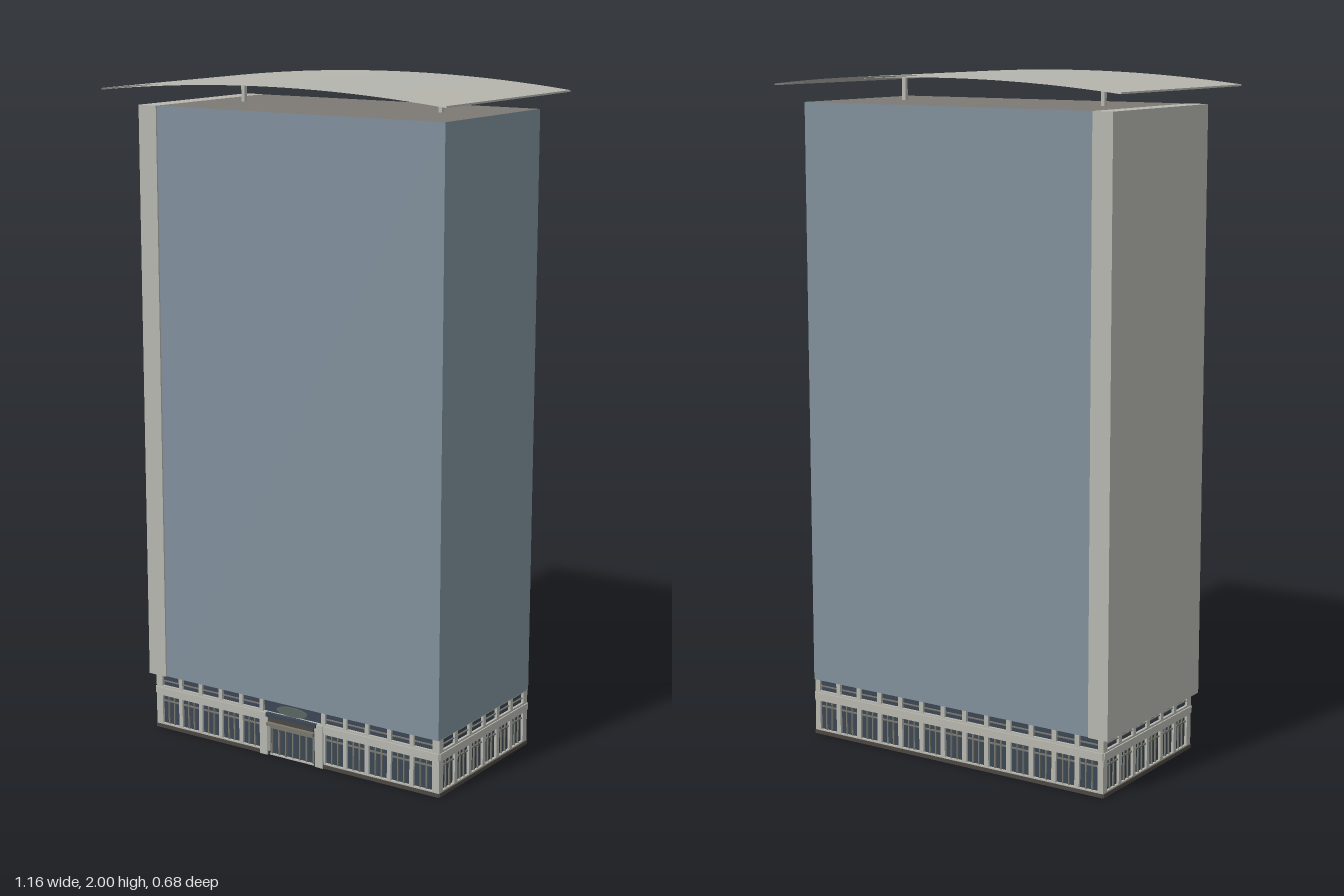
import * as THREE from 'three';
import { mergeGeometries } from 'three/addons/utils/BufferGeometryUtils.js';

function material(name, color, side = THREE.FrontSide) {
  const m = new THREE.MeshStandardMaterial({ color, side });
  m.name = name;
  return m;
}
const M = {
  blue: material('blue cladding', 0x80909c, THREE.DoubleSide),
  stone: material('pale stone', 0xb7b7af),
  roof: material('roof sheet', 0xb5b5ae, THREE.DoubleSide),
  cap: material('roof deck', 0x7d7a74),
  glass: material('dark glass', 0x3b4653, THREE.DoubleSide),
  frame: material('window frame', 0x77776f),
  plinth: material('plinth', 0x4b4641),
  sign: material('canopy green grey', 0x58645f),
};

function add(parent, name, geometry, mat, x = 0, y = 0, z = 0) {
  const mesh = new THREE.Mesh(geometry, mat);
  mesh.name = name;
  mesh.position.set(x, y, z);
  parent.add(mesh);
  return mesh;
}

// box from its limits
function block(x0, x1, y0, y1, z0, z1) {
  return new THREE.BoxGeometry(x1 - x0, y1 - y0, z1 - z0)
    .translate((x0 + x1) / 2, (y0 + y1) / 2, (z0 + z1) / 2);
}

function rectPath(x0, x1, y0, y1) {
  return new THREE.Path([[x0, y0], [x0, y1], [x1, y1], [x1, y0]].map(p => new THREE.Vector2(...p))).closePath();
}

const H = 0.175, DEPTH = 0.012;

// one podium wall, outer face on local z = 0, with windows at the given centres
function facade(name, half, centres, pane, entrance = false) {
  const g = new THREE.Group();
  g.name = name;
  const wall = new THREE.Shape([[-half, 0], [half, 0], [half, H], [-half, H]].map(p => new THREE.Vector2(...p)));
  const bars = [];
  for (const c of centres) {
    const w = pane / 2;
    wall.holes.push(rectPath(c - w, c + w, 0.015, 0.105), rectPath(c - w, c + w, 0.137, 0.17));
    // mullions and transoms
    for (const s of [-1, 1]) {
      const x = c + s * pane / 6;
      bars.push(block(x - 0.002, x + 0.002, 0.015, 0.105, -0.009, -0.003));
    }
    bars.push(block(c - w, c + w, 0.086, 0.09, -0.009, -0.003));
    bars.push(block(c - w, c + w, 0.15, 0.153, -0.009, -0.003));
  }
  if (entrance) wall.holes.push(rectPath(-0.082, 0.082, 0.004, 0.108), rectPath(-0.105, 0.105, 0.134, 0.17));
  add(g, 'wallFrame', new THREE.ExtrudeGeometry(wall, { depth: DEPTH, bevelEnabled: false }), M.stone, 0, 0, -DEPTH);
  add(g, 'glazing', new THREE.PlaneGeometry(2 * half - 0.02, H - 0.004), M.glass, 0, H / 2, -0.008);
  add(g, 'mullions', mergeGeometries(bars), M.frame);
  add(g, 'beltCourse', block(-half, half, 0.111, 0.131, -0.002, 0.004), M.stone);
  if (entrance) {
    for (const s of [-1, 1])
      add(g, 'plinth', block(s < 0 ? -half : 0.082, s < 0 ? -0.082 : half, 0, 0.011, -0.005, 0.003), M.plinth);
  } else add(g, 'plinth', block(-half, half, 0, 0.011, -0.005, 0.003), M.plinth);
  return g;
}

// doors, flanking piers and canopy
function entranceParts() {
  const g = new THREE.Group();
  g.name = 'entrance';
  const bars = [];
  for (let i = 0; i <= 6; i++) {
    const x = -0.075 + i * 0.025;
    bars.push(block(x - 0.002, x + 0.002, 0.004, 0.1, -0.008, -0.002));
  }
  bars.push(block(-0.08, 0.08, 0.084, 0.088, -0.008, -0.002));
  add(g, 'doorFrames', mergeGeometries(bars), M.frame);
  for (const s of [-1, 1]) add(g, 'pier', block(s * 0.1 - 0.014, s * 0.1 + 0.014, 0, 0.132, -0.004, 0.006), M.stone);
  add(g, 'canopy', block(-0.085, 0.085, 0.096, 0.106, -0.004, 0.015), M.frame);
  add(g, 'canopyFascia', block(-0.082, 0.082, 0.108, 0.122, -0.002, 0.008), M.plinth);
  add(g, 'canopyTop', block(-0.09, 0.09, 0.122, 0.134, -0.002, 0.01), M.glass);
  const oval = new THREE.Shape().absellipse(0, 0, 0.055, 0.014, 0, Math.PI * 2);
  add(g, 'ovalPanel', new THREE.ExtrudeGeometry(oval, { depth: 0.006, bevelEnabled: false, curveSegments: 10 }), M.sign, 0, 0.15, -0.004);
  return g;
}

// curved sheet shell, straight along z, open at both ends
function roofGeometry() {
  const n = 20, path = [], pos = [];
  const arc = (x, d) => [x, 1.968 + 0.032 * (1 - (x / 0.58) ** 2) - d];
  for (let i = 0; i <= n; i++) path.push(arc(0.58 - 1.16 * i / n, 0));
  for (let i = 0; i <= n; i++) path.push(arc(-0.58 + 1.16 * i / n, 0.005));
  path.forEach((a, i) => {
    const b = path[(i + 1) % path.length], z = 0.34;
    const p = [[...a, z], [...a, -z], [...b, -z], [...b, z]];
    for (const k of [0, 1, 2, 0, 2, 3]) pos.push(...p[k]);
  });
  const geo = new THREE.BufferGeometry();
  geo.setAttribute('position', new THREE.Float32BufferAttribute(pos, 3));
  geo.computeVertexNormals();
  return geo;
}

export function createModel() {
  const model = new THREE.Group();
  model.name = 'towerBlock';

  // podium: four glazed walls, hollow inside
  const podium = new THREE.Group();
  podium.name = 'podium';
  const row = (count, step) => Array.from({ length: count }, (_, i) => (i - (count - 1) / 2) * step);
  const frontCentres = [0, 1, 2, 3, 4].flatMap(i => [0.15 + 0.0765 * i, -0.15 - 0.0765 * i]);
  const front = facade('frontPodium', 0.511, frontCentres, 0.063, true);
  front.position.z = 0.225;
  front.add(entranceParts());
  const back = facade('backPodium', 0.511, row(13, 0.077), 0.062);
  back.position.z = -0.285;
  back.rotation.y = Math.PI;
  podium.add(front, back);
  for (const s of [-1, 1]) {
    const side = facade(s > 0 ? 'leftPodium' : 'rightPodium', 0.254, row(6, 0.08), 0.064);
    side.position.set(s * 0.511, 0, -0.03);
    side.rotation.y = s * Math.PI / 2;
    podium.add(side);
  }
  model.add(podium);

  // hollow tower shaft
  const y0 = 0.172, y1 = 1.915, h = y1 - y0, mid = (y0 + y1) / 2;
  const long = new THREE.PlaneGeometry(0.977, h);
  add(model, 'frontCladding', long, M.blue, 0.0225, mid, 0.23);
  add(model, 'backCladding', long, M.blue, 0.0225, mid, -0.29).rotation.y = Math.PI;
  add(model, 'sideCladding', new THREE.PlaneGeometry(0.52, h), M.blue, 0.511, mid, -0.03).rotation.y = Math.PI / 2;
  add(model, 'stoneEndWall', block(-0.53, -0.466, y0, y1, -0.295, 0.235), M.stone);
  add(model, 'roofDeck', block(-0.466, 0.51, y1 - 0.006, y1, -0.289, 0.229), M.cap);

  // canopy roof on two posts
  for (const x of [-0.343, 0.34])
    add(model, 'roofPost', block(x - 0.006, x + 0.006, 1.91, 1.983, -0.036, -0.024), M.stone);
  add(model, 'curvedRoof', roofGeometry(), M.roof);
  return model;
}
